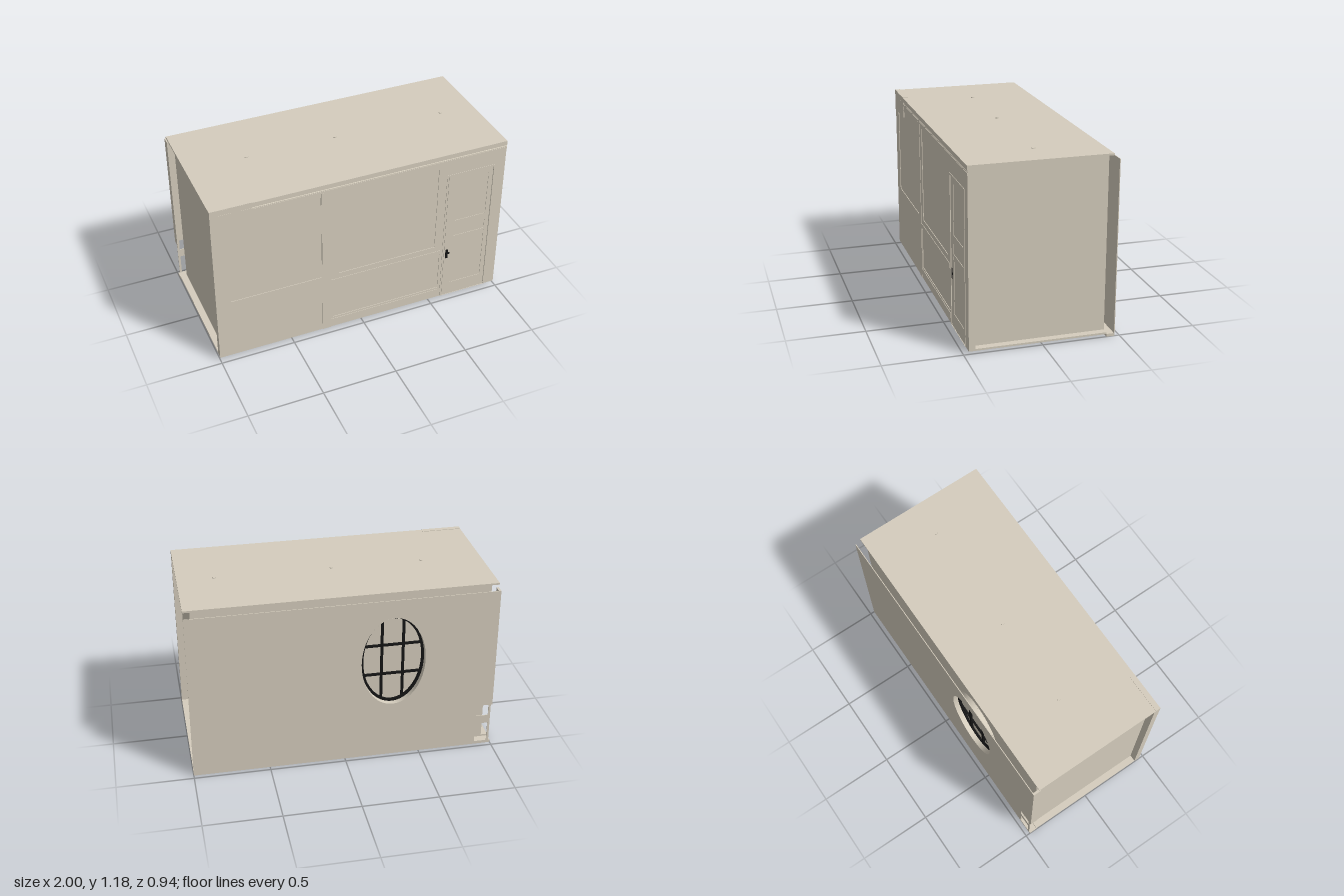
import * as THREE from 'three';

export function createModel() {
  const model = new THREE.Group();
  model.name = 'roomModule';
  const mat = (name, color, extra = {}) => {
    const m = new THREE.MeshStandardMaterial({ color, ...extra });
    m.name = name;
    return m;
  };
  const cream = mat('cream paint', 0xd5cdbd, { side: THREE.DoubleSide });
  const black = mat('black metal', 0x151515);

  const add = (name, geo, material = cream) => {
    const mesh = new THREE.Mesh(geo, material);
    mesh.name = name;
    model.add(mesh);
    return mesh;
  };
  // Box given by its limits on each axis
  const box = (name, x0, x1, y0, y1, z0, z1, material) =>
    add(name, new THREE.BoxGeometry(x1 - x0, y1 - y0, z1 - z0)
      .translate((x0 + x1) / 2, (y0 + y1) / 2, (z0 + z1) / 2), material);
  const rect = (T, x0, x1, y0, y1) => {
    const s = new T();
    s.moveTo(x0, y0); s.lineTo(x1, y0); s.lineTo(x1, y1); s.lineTo(x0, y1); s.closePath();
    return s;
  };
  const plate = (name, shape, z, depth, material) =>
    add(name, new THREE.ExtrudeGeometry(shape, { depth, bevelEnabled: false, curveSegments: 32 })
      .translate(0, 0, z), material);

  // Shell: end walls set back between the front and back walls
  box('endWallCore', -0.955, 0.955, 0.025, 1.175, -0.415, 0.43);
  box('floor', -1, 1, 0.018, 0.03, -0.415, 0.465);
  box('ceiling', -1, 1, 1.168, 1.18, -0.43, 0.465);
  box('frontWall', -1, 1, 0.018, 1.18, 0.425, 0.463);

  // Front facing with sunken panels
  const front = rect(THREE.Shape, -1, 1, 0.018, 1.18);
  const panels = [
    [-0.907, -0.29, 0.46, 1.09], [-0.17, 0.52, 0.46, 1.10],
    [-0.21, 0.56, 0.10, 0.39], [0.585, 0.925, 0.02, 1.015],
  ];
  for (const p of panels) front.holes.push(rect(THREE.Path, ...p));
  plate('frontFacing', front, 0.463, 0.004);

  // Posts, rails and cornice on the front
  box('frontPost', -0.285, -0.225, 0.018, 1.12, 0.46, 0.47);
  box('middleRail', -0.285, 0.565, 0.39, 0.42, 0.46, 0.47);
  box('baseRail', -0.285, 0.565, 0.05, 0.085, 0.46, 0.47);
  box('corniceUpper', -1, 1, 1.15, 1.18, 0.46, 0.47);
  box('corniceLower', -1, 1, 1.12, 1.135, 0.46, 0.4695);
  box('cornerPlate', -1, -0.73, 1.04, 1.18, 0.46, 0.4697);
  box('cornerTopPlate', -1, -0.73, 1.178, 1.183, 0.435, 0.4697);

  // Door with frame, sunken panels and handle
  const frame = rect(THREE.Shape, 0.58, 0.93, 0.018, 1.02);
  frame.holes.push(rect(THREE.Path, 0.592, 0.918, 0.019, 1.006));
  plate('doorFrame', frame, 0.462, 0.008);
  const door = rect(THREE.Shape, 0.596, 0.914, 0.02, 1.003);
  for (const [y0, y1] of [[0.115, 0.5], [0.515, 0.585], [0.64, 0.965]])
    door.holes.push(rect(THREE.Path, 0.655, 0.885, y0, y1));
  plate('doorLeaf', door, 0.462, 0.004);
  box('handlePlate', 0.605, 0.623, 0.34, 0.41, 0.463, 0.469, black);
  box('handleLever', 0.605, 0.635, 0.372, 0.384, 0.465, 0.47, black);

  // Back wall skin with an oval window and two corner cut-outs
  const wx = -0.315, wy = 0.705, rx = 0.21, ry = 0.315;
  const oval = (T, a, b) => {
    const s = new T();
    s.absellipse(wx, wy, a, b, 0, Math.PI * 2, false, 0);
    return s;
  };
  const back = rect(THREE.Shape, -0.99, 1, 0, 1.143);
  back.holes.push(oval(THREE.Path, rx, ry),
    rect(THREE.Path, -0.975, -0.89, 0.22, 0.30), rect(THREE.Path, -0.975, -0.89, 0.02, 0.16));
  plate('backWall', back, -0.47, 0.005);
  box('backCornerPost', -1, -0.985, 0.3, 1.143, -0.47, -0.415);
  box('backPostStop', -0.89, -0.88, 0.02, 0.3, -0.466, -0.415);
  box('backSill', -1, 1, 0, 0.018, -0.469, -0.415);

  // Sloped strip along the top of the back wall
  const slope = new THREE.Shape();
  slope.moveTo(0.43, 1.18); slope.lineTo(0.47, 1.143);
  slope.lineTo(0.465, 1.143); slope.lineTo(0.43, 1.172); slope.closePath();
  add('backSlope', new THREE.ExtrudeGeometry(slope, { depth: 2, bevelEnabled: false })
    .rotateY(Math.PI / 2).translate(-1, 0, 0).rotateY(Math.PI));

  // Window reveal, pane, black ring and glazing bars
  add('windowReveal', new THREE.CylinderGeometry(1, 1, 0.055, 40, 1, true)
    .rotateX(Math.PI / 2).scale(rx, ry, 1).translate(wx, wy, -0.4425));
  plate('windowPane', oval(THREE.Shape, rx, ry), -0.42, 0.004);
  const ring = oval(THREE.Shape, rx - 0.002, ry - 0.002);
  ring.holes.push(oval(THREE.Path, rx - 0.018, ry - 0.018));
  plate('windowRing', ring, -0.437, 0.016, black);
  for (const s of [-1, 1]) {
    const h = ry * Math.sqrt(1 - (0.07 / rx) ** 2) - 0.008;
    const w = rx * Math.sqrt(1 - (0.105 / ry) ** 2) - 0.008;
    const x = wx + s * 0.07, y = wy + s * 0.105;
    box('uprightBar', x - 0.008, x + 0.008, wy - h, wy + h, -0.435, -0.421, black);
    box('crossBar', wx - w, wx + w, y - 0.007, y + 0.007, -0.435, -0.421, black);
  }

  // Small caps on the roof
  for (const x of [-0.6, 0, 0.76])
    add('roofCap', new THREE.CylinderGeometry(0.012, 0.012, 0.006, 16).translate(x, 1.182, -0.005));

  return model;
}
